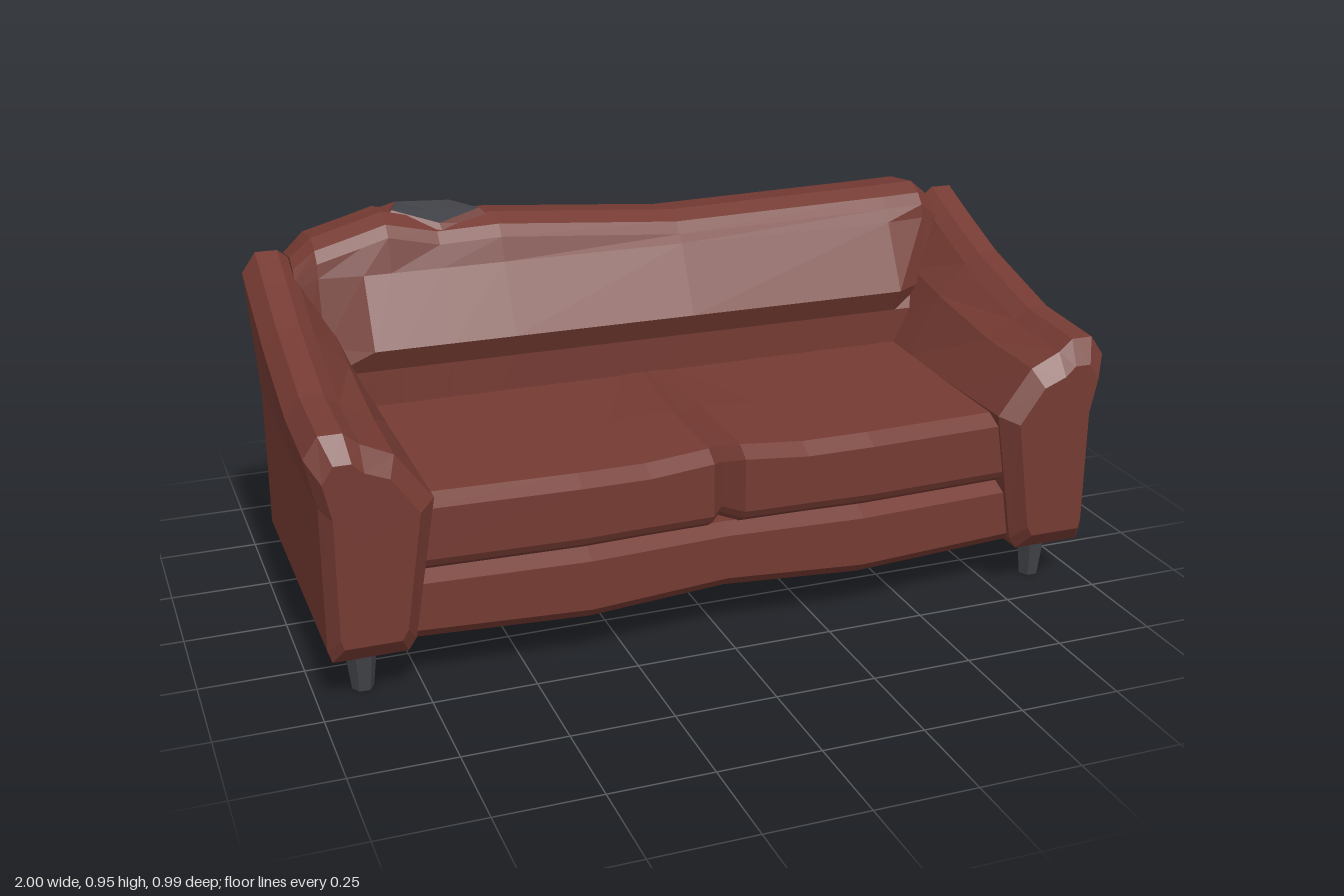
import * as THREE from 'three';

const leather = new THREE.MeshStandardMaterial({ color: 0x743a32, flatShading: true });
leather.name = 'redBrownLeather';
const dark = new THREE.MeshStandardMaterial({ color: 0x414247, flatShading: true });
dark.name = 'darkGrey';

// Skins equal-length rings of [x, y, z] points, caps both ends, and turns faces outward
function loft(rings) {
  const n = rings[0].length, tris = [];
  for (let i = 0; i < rings.length - 1; i++) {
    for (let j = 0; j < n; j++) {
      const k = (j + 1) % n;
      const a = rings[i][j], b = rings[i][k], c = rings[i + 1][k], d = rings[i + 1][j];
      tris.push([a, b, c], [a, c, d]);
    }
  }
  const cap = (ring, flip) => {
    const c = [0, 1, 2].map(q => ring.reduce((s, p) => s + p[q], 0) / n);
    ring.forEach((p, j) => {
      const q = ring[(j + 1) % n];
      tris.push(flip ? [c, q, p] : [c, p, q]);
    });
  };
  cap(rings[0], true);
  cap(rings[rings.length - 1], false);
  const v = p => new THREE.Vector3(...p);
  const volume = tris.reduce((s, [a, b, c]) => s + v(a).dot(v(b).cross(v(c))), 0);
  return surface(volume < 0 ? tris.map(([a, b, c]) => [a, c, b]) : tris);
}

function surface(tris) {
  const geo = new THREE.BufferGeometry();
  geo.setAttribute('position', new THREE.Float32BufferAttribute(tris.flat(2), 3));
  geo.computeVertexNormals();
  return geo;
}

export function createModel() {
  const model = new THREE.Group();
  model.name = 'sofa';
  const add = (name, geo, mat = leather) => {
    const mesh = new THREE.Mesh(geo, mat);
    mesh.name = name;
    model.add(mesh);
    return mesh;
  };

  // Arms: cross-sections along z whose height sweeps up to the back
  const armRing = (s, z, h, sx = 1, sy = 1) => [
    [0.79, 0.12], [0.965, 0.12], [0.975, 0.15], [0.975, 0.5], [1.0, h - 0.05], [0.965, h],
    [0.91, h], [0.875, h - 0.03], [0.8, h * 0.5 + 0.27], [0.715, 0.49], [0.77, 0.15],
  ].map(([x, y]) => [s * (0.875 + (x - 0.875) * sx), 0.4 + (y - 0.4) * sy, z]);
  for (const [s, side] of [[1, 'left'], [-1, 'right']]) {
    add(side + 'Arm', loft([
      armRing(s, 0.495, 0.655, 0.75, 0.83), armRing(s, 0.455, 0.67), armRing(s, 0.24, 0.685),
      armRing(s, -0.03, 0.76), armRing(s, -0.19, 0.825), armRing(s, -0.305, 0.875),
      armRing(s, -0.325, 0.865, 0.93, 0.96),
    ]));
  }

  // Backrest: rolled profile along x with an uneven, sagging top
  const backRing = (x, t, recess = 0, end = 1) => [
    [-0.13, 0.12], [-0.13, 0.59], [-0.1 - recess, 0.65], [-0.19 - recess * 0.2, 0.82],
    [-0.21, t - 0.05], [-0.235, t - 0.022], [-0.28, t], [-0.4, t - 0.015], [-0.465, t - 0.05],
    [-0.495, 0.81], [-0.365, 0.65], [-0.4, 0.62], [-0.345, 0.575], [-0.37, 0.145], [-0.355, 0.12],
  ].map(([z, y]) => [x, 0.5 + (y - 0.5) * (y > 0.5 ? (1 + end) / 2 : 1), -0.28 + (z + 0.28) * end]);
  add('backrest', loft([
    backRing(-0.885, 0.895, 0.08, 0.82), backRing(-0.83, 0.905, 0.07), backRing(-0.72, 0.935),
    backRing(-0.65, 0.955), backRing(-0.52, 0.925), backRing(-0.36, 0.93), backRing(0.12, 0.89),
    backRing(0.72, 0.902), backRing(0.83, 0.905, 0.07), backRing(0.885, 0.895, 0.08, 0.82),
  ]));

  // Torn spot on top of the backrest: raised lip around a dark filling
  const outer = [[-0.63, 0.93, -0.415], [-0.46, 0.90, -0.405], [-0.355, 0.9, -0.27],
    [-0.5, 0.875, -0.22], [-0.655, 0.92, -0.285]];
  const inner = [[-0.59, 0.947, -0.395], [-0.45, 0.942, -0.385], [-0.4, 0.944, -0.275],
    [-0.51, 0.921, -0.247], [-0.62, 0.952, -0.295]];
  const lip = [], filling = [], middle = [-0.51, 0.936, -0.32];
  inner.forEach((p, i) => {
    const k = (i + 1) % 5;
    lip.push([outer[i], p, inner[k]], [outer[i], inner[k], outer[k]]);
    filling.push([middle, inner[k], p]);
  });
  const lipMat = leather.clone();
  lipMat.side = THREE.DoubleSide;
  add('tearLip', surface(lip), lipMat);
  add('tearFilling', surface(filling), dark);

  // Seat cushions: pinched at the centre seam, slightly bulging in front
  const seatRing = (x, f, t) => [
    [-0.2, 0.29], [-0.2, 0.5], [0.15, t + 0.005], [f - 0.04, t], [f, t - 0.025],
    [f, 0.335], [f - 0.012, 0.315], [f - 0.05, 0.29],
  ].map(([z, y]) => [x, y, z]);
  for (const [s, side] of [[1, 'left'], [-1, 'right']]) {
    add(side + 'SeatCushion', loft([
      seatRing(0, 0.4, 0.475), seatRing(s * 0.04, 0.452, 0.495), seatRing(s * 0.2, 0.456, 0.482),
      seatRing(s * 0.37, 0.463, 0.485), seatRing(s * 0.78, 0.447, 0.485),
    ]));
  }

  // Base frame with a gently waved front
  add('baseFrame', loft([
    [-0.82, 0.44, 0.13], [-0.35, 0.465, 0.12], [0, 0.445, 0.133], [0.35, 0.465, 0.12], [0.82, 0.44, 0.13],
  ].map(([x, f, b]) => [
    [-0.34, 0.125], [-0.34, 0.3], [f - 0.04, 0.297], [f, 0.275], [f, b + 0.03], [f - 0.03, b],
  ].map(([z, y]) => [x, y, z]))));

  // Six-sided tapered legs
  for (const x of [-0.885, 0.885]) {
    for (const z of [0.37, -0.25]) {
      const leg = add((z > 0 ? 'front' : 'back') + 'Leg',
        new THREE.CylinderGeometry(0.042, 0.026, 0.13, 6, 1, false, Math.PI / 2), dark);
      leg.position.set(x, 0.065, z);
    }
  }
  return model;
}
